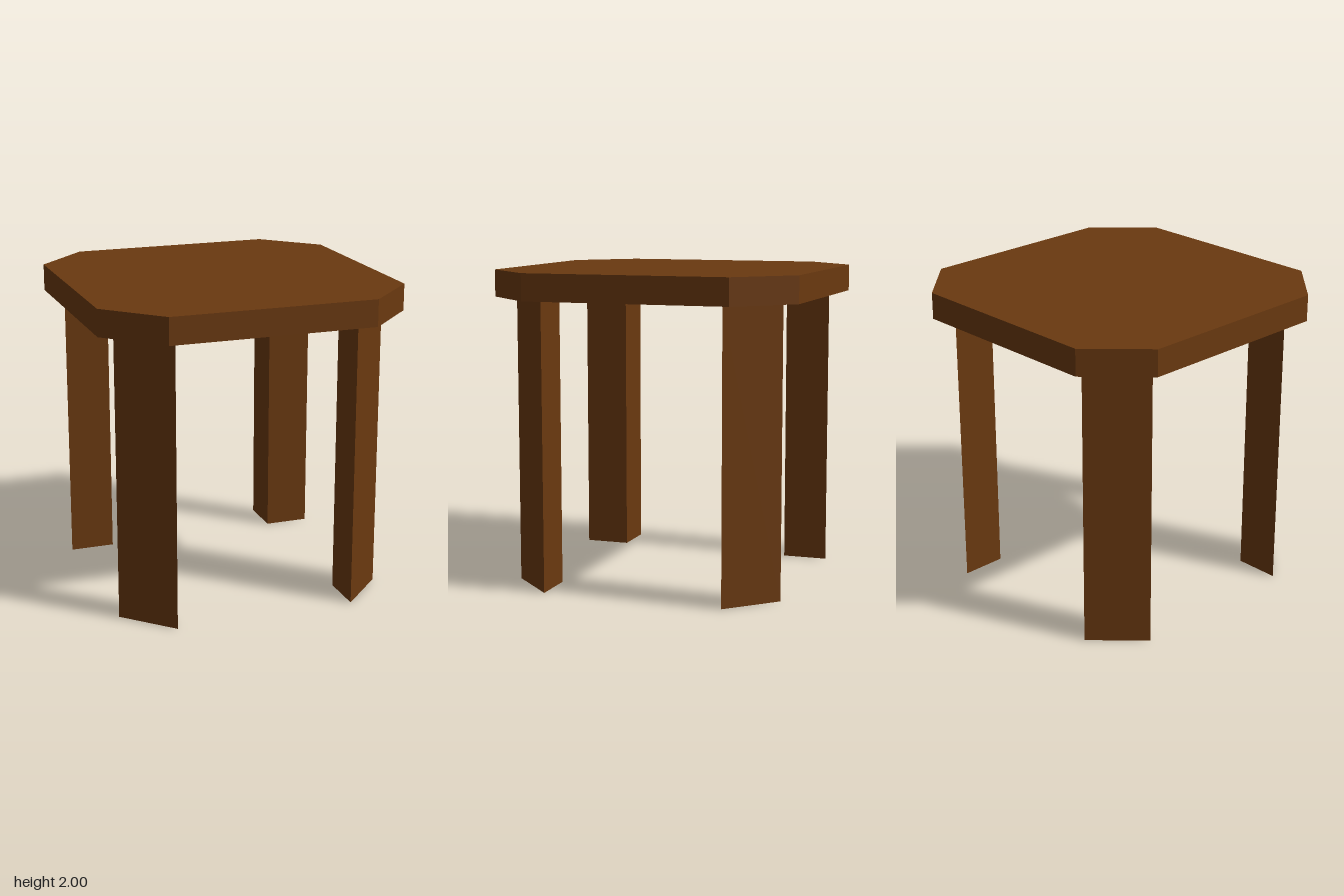
import * as THREE from 'three';

// Upright prism from a plan outline, standing on y = 0
function prism(points, height) {
  const shape = new THREE.Shape(points.map(([x, y]) => new THREE.Vector2(x, y)));
  const geometry = new THREE.ExtrudeGeometry(shape, { depth: height, bevelEnabled: false });
  return geometry.rotateX(-Math.PI / 2);
}

export function createModel() {
  const wood = new THREE.MeshStandardMaterial({ color: 0x6a3910 });
  wood.name = 'brownWood';

  const table = new THREE.Group();
  table.name = 'table';

  const legHeight = 1.83;
  const topThickness = 0.17;

  // Square top with cut corners
  const h = 0.985, c = 0.655;
  const top = new THREE.Mesh(prism([
    [h, -c], [h, c], [c, h], [-c, h], [-h, c], [-h, -c], [-c, -h], [c, -h],
  ], topThickness), wood);
  top.name = 'tableTop';
  top.position.y = legHeight;
  table.add(top);

  // Triangular legs, flat side facing each cut corner
  const inner = 0.58, outer = 0.87;
  const legGeometry = prism([[inner, inner], [outer, inner], [inner, outer]], legHeight);
  const names = ['backLeftLeg', 'backRightLeg', 'frontRightLeg', 'frontLeftLeg'];
  names.forEach((name, i) => {
    const leg = new THREE.Mesh(legGeometry, wood);
    leg.name = name;
    leg.rotation.y = i * Math.PI / 2;
    table.add(leg);
  });

  return table;
}
